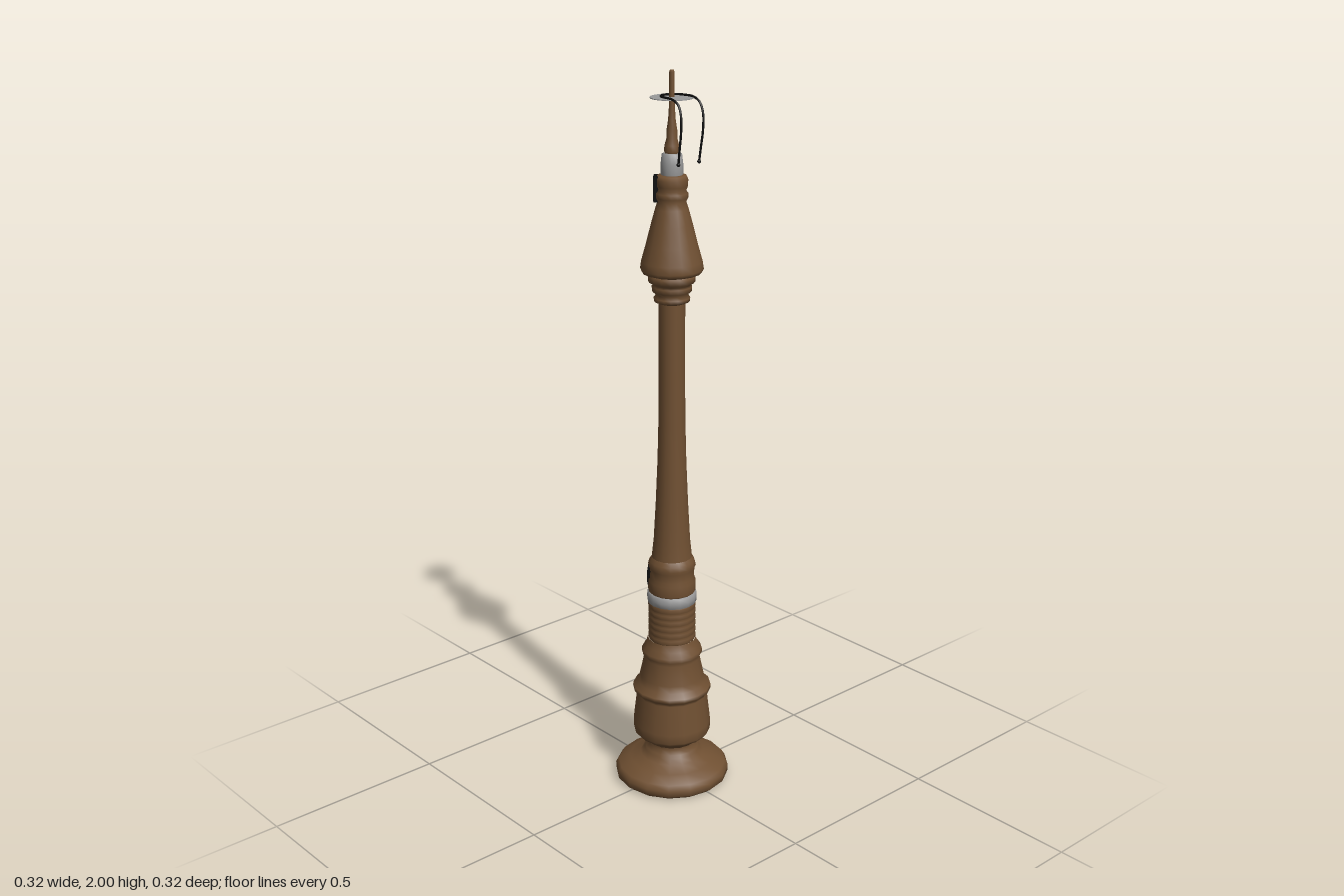
import * as THREE from 'three';

const SIDES = 16;

export function createModel() {
  const model = new THREE.Group();
  const material = (name, color) => Object.assign(new THREE.MeshStandardMaterial({ color }), { name });
  const wood = material('brown wood', 0x705032);
  const metal = material('grey metal', 0x9a9a9a);
  metal.side = THREE.DoubleSide;
  const black = material('black', 0x0c0c0c);

  const add = (name, geometry, mat, parent = model) => {
    const mesh = new THREE.Mesh(geometry, mat);
    mesh.name = name;
    parent.add(mesh);
    return mesh;
  };
  // Turned part from [radius, height] pairs, bottom to top
  const turned = (name, profile, mat, sides = SIDES) =>
    add(name, new THREE.LatheGeometry(profile.map(([r, y]) => new THREE.Vector2(r, y)), sides), mat);

  // Flat round foot
  turned('foot', [[0, 0], [0.148, 0], [0.15, 0.003], [0.16, 0.01], [0.161, 0.028], [0.152, 0.042],
    [0.12, 0.058], [0.09, 0.072], [0.078, 0.085], [0.076, 0.095], [0.066, 0.105], [0.07, 0.12]], wood);

  // Vase-shaped lower body
  turned('lowerBody', [[0.07, 0.115], [0.083, 0.127], [0.1, 0.138], [0.108, 0.148], [0.109, 0.175],
    [0.099, 0.262], [0.101, 0.27], [0.11, 0.278], [0.109, 0.288], [0.095, 0.3], [0.09, 0.32],
    [0.078, 0.375], [0.084, 0.388], [0.084, 0.4], [0.073, 0.415], [0.067, 0.435]], wood);

  // Ringed grip made of stacked beads
  const grip = [];
  for (let i = 0; i < 6; i++) {
    const y = 0.432 + i * 0.019;
    grip.push([0.063, y], [0.066, y + 0.004], [0.066, y + 0.015]);
  }
  grip.push([0.063, 0.547]);
  turned('ringedGrip', grip, wood);
  turned('greyBand', [[0.062, 0.545], [0.068, 0.546], [0.069, 0.56], [0.068, 0.574], [0.062, 0.576]], metal);

  // Collar and long tapering shaft
  turned('collar', [[0.062, 0.575], [0.066, 0.58], [0.066, 0.61], [0.061, 0.62], [0.062, 0.645],
    [0.066, 0.655], [0.063, 0.668], [0.056, 0.68]], wood);
  turned('shaft', [[0.056, 0.675], [0.05, 0.73], [0.044, 0.84], [0.039, 0.96], [0.036, 1.08],
    [0.035, 1.22], [0.035, 1.41]], wood);

  // Stepped rings under the head
  turned('neckRings', [[0.035, 1.4], [0.047, 1.405], [0.048, 1.415], [0.041, 1.423], [0.052, 1.432],
    [0.053, 1.445], [0.048, 1.45], [0.062, 1.458], [0.062, 1.472], [0.056, 1.478]], wood);

  // Bell-shaped head with rings at its top
  turned('bellHead', [[0.056, 1.475], [0.078, 1.482], [0.083, 1.492], [0.08, 1.512], [0.068, 1.555],
    [0.054, 1.61], [0.043, 1.65], [0.037, 1.668], [0.042, 1.678], [0.042, 1.69], [0.037, 1.697],
    [0.041, 1.708], [0.042, 1.725], [0.038, 1.735], [0.025, 1.737]], wood);

  // Metal ferrule and slim pointed finial
  turned('ferrule', [[0.025, 1.735], [0.029, 1.738], [0.029, 1.765], [0.026, 1.79], [0.017, 1.793]], metal);
  turned('finial', [[0.018, 1.79], [0.021, 1.797], [0.019, 1.812], [0.014, 1.83], [0.014, 1.85],
    [0.01, 1.875], [0.008, 1.905], [0.007, 1.94], [0.007, 1.995], [0.005, 2], [0, 2]], wood, 10);

  // Paper-thin disc around the finial
  add('disc', new THREE.CylinderGeometry(0.056, 0.056, 0.002, 32), metal).position.y = 1.932;

  // Thread looped over the disc, both ends hanging at the front
  const half = [[0.025, 1.936, -0.014], [0.034, 1.936, 0.01], [0.036, 1.935, 0.04], [0.036, 1.925, 0.063],
    [0.037, 1.9, 0.075], [0.037, 1.86, 0.076], [0.036, 1.81, 0.069], [0.035, 1.775, 0.064]];
  const points = [
    ...half.map(([x, y, z]) => new THREE.Vector3(-x, y, z)).reverse(),
    new THREE.Vector3(0, 1.936, -0.025),
    ...half.map((p) => new THREE.Vector3(...p)),
  ];
  add('thread', new THREE.TubeGeometry(new THREE.CatmullRomCurve3(points), 80, 0.003, 6), black);
  for (const side of [-1, 1]) {
    add('threadEnd', new THREE.SphereGeometry(0.005, 8, 6), black).position.set(side * 0.035, 1.775, 0.064);
  }

  // Dark fittings on the back right of the body
  const fittings = new THREE.Group();
  fittings.name = 'backFittings';
  fittings.rotation.y = -Math.PI * 0.75;
  model.add(fittings);
  const plate = (name, w, h, d, y, z) =>
    add(name, new THREE.BoxGeometry(w, h, d), black, fittings).position.set(0, y, z);
  plate('latchTop', 0.036, 0.034, 0.014, 1.717, 0.04);
  plate('latchBottom', 0.024, 0.034, 0.014, 1.684, 0.04);
  plate('markBar', 0.044, 0.01, 0.008, 0.637, 0.063);
  plate('markStem', 0.012, 0.04, 0.008, 0.612, 0.064);
  plate('markCross', 0.026, 0.008, 0.008, 0.618, 0.064);

  return model;
}
